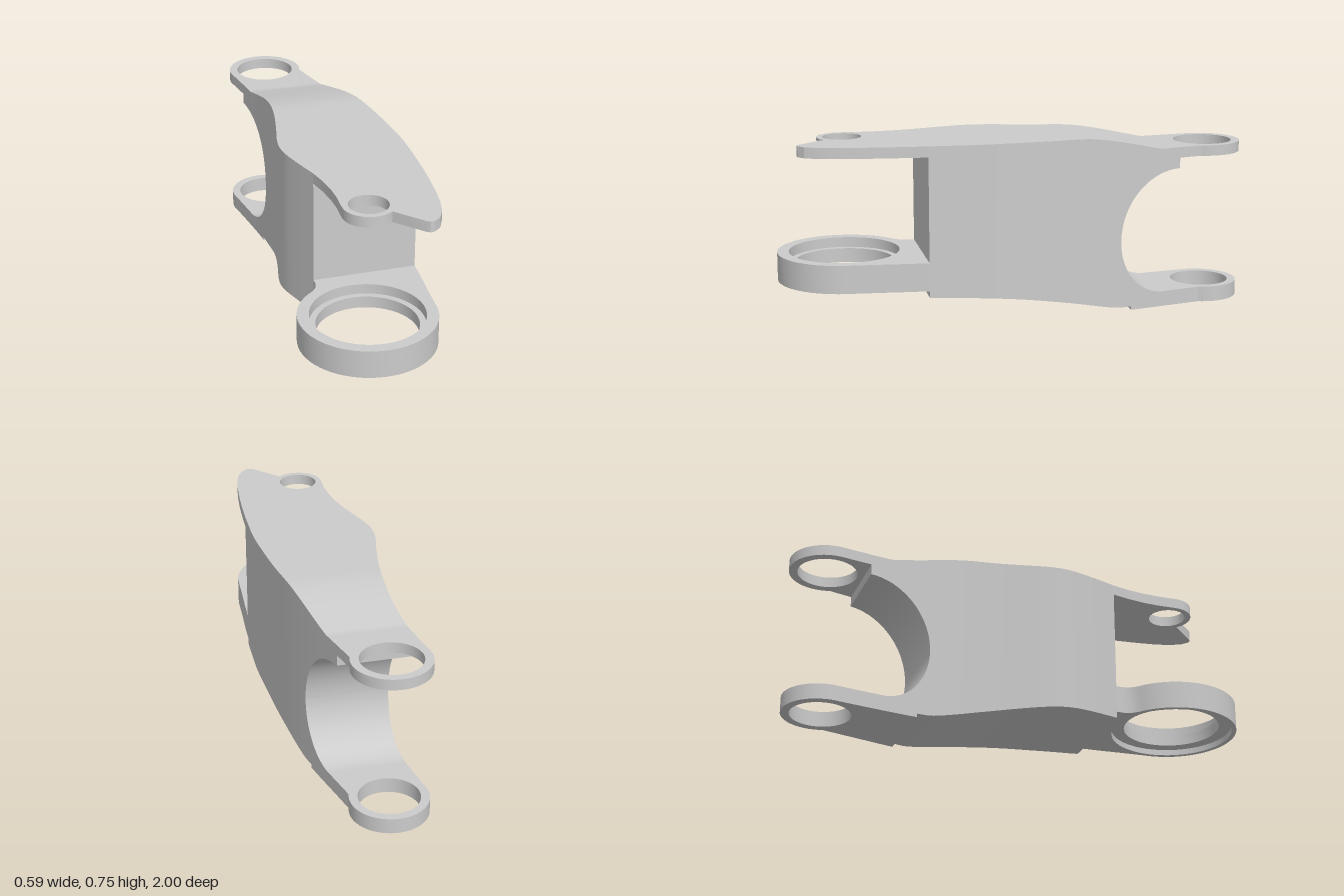
import * as THREE from 'three';
import { toCreasedNormals } from 'three/addons/utils/BufferGeometryUtils.js';

const material = new THREE.MeshStandardMaterial({ color: 0xcccccc });

// Side outlines of the arm in plan, as [z, x] from back to front
const LEFT = [[-0.8, -0.175], [-0.64, -0.152], [-0.45, -0.131], [-0.3, -0.135], [-0.18, -0.15],
  [-0.05, -0.177], [0.06, -0.203], [0.13, -0.212], [0.2, -0.206], [0.3, -0.18], [0.405, -0.148]];
const RIGHT = [[-0.79, 0.132], [-0.65, 0.165], [-0.5, 0.2], [-0.3, 0.24], [-0.1, 0.27],
  [0.1, 0.288], [0.2, 0.293], [0.3, 0.291], [0.405, 0.287]];
// Top and underside heights, as [z, y]
const TOP = [[-0.6, 0.685], [-0.5, 0.708], [-0.4, 0.73], [-0.3, 0.746], [-0.24, 0.75], [-0.1, 0.75], [0.405, 0.75]];
const UNDER = [[-0.47, 0.015], [-0.4, 0.017], [-0.2, 0.057], [0, 0.09], [0.2, 0.111], [0.405, 0.122]];

// Smooth interpolation through a sorted table
function at(table, t) {
  const n = table.length - 1;
  if (t <= table[0][0]) return table[0][1];
  if (t >= table[n][0]) return table[n][1];
  let i = 0;
  while (t > table[i + 1][0]) i++;
  const slope = (k) => {
    const a = table[Math.max(k - 1, 0)], b = table[Math.min(k + 1, n)];
    return (b[1] - a[1]) / (b[0] - a[0]);
  };
  const [t0, v0] = table[i], [t1, v1] = table[i + 1];
  const h = t1 - t0, u = (t - t0) / h, u2 = u * u, u3 = u2 * u;
  return v0 * (2 * u3 - 3 * u2 + 1) + v1 * (3 * u2 - 2 * u3) +
    h * (slope(i) * (u3 - 2 * u2 + u) + slope(i + 1) * (u3 - u2));
}

function addMesh(group, name, geometry) {
  const flat = geometry.index ? geometry.toNonIndexed() : geometry;
  const mesh = new THREE.Mesh(toCreasedNormals(flat, 0.4), material);
  mesh.name = name;
  group.add(mesh);
  return mesh;
}

// Loft of rectangular sections [z, yLow, yHigh], listed from front to back
function loft(sections, capFront, capBack) {
  const rings = sections.map(([z, lo, hi]) => {
    const l = at(LEFT, z), r = at(RIGHT, z);
    return [[l, lo, z], [r, lo, z], [r, hi, z], [l, hi, z]];
  });
  const pos = [];
  const quad = (a, b, c, d) => [a, b, c, a, c, d].forEach((p) => pos.push(...p));
  if (capFront) quad(...rings[0]);
  for (let i = 0; i < rings.length - 1; i++) {
    for (let k = 0; k < 4; k++) {
      const m = (k + 1) % 4;
      quad(rings[i][k], rings[i + 1][k], rings[i + 1][m], rings[i][m]);
    }
  }
  if (capBack) quad(...[...rings[rings.length - 1]].reverse());
  const g = new THREE.BufferGeometry();
  g.setAttribute('position', new THREE.Float32BufferAttribute(pos, 3));
  return g;
}

// Points [x, z] along an arc, angles in degrees
function arc(cx, cz, r, from, to, steps = 32) {
  return Array.from({ length: steps + 1 }, (_, i) => {
    const a = THREE.MathUtils.degToRad(from + (to - from) * i / steps);
    return [cx + r * Math.cos(a), cz + r * Math.sin(a)];
  });
}

// Horizontal plate from a plan outline with one round hole [x, z, r]
function plate(outline, [hx, hz, hr], y0, y1) {
  const shape = new THREE.Shape(outline.map(([x, z]) => new THREE.Vector2(x, -z)));
  shape.holes.push(new THREE.Path().absarc(hx, -hz, hr, 0, Math.PI * 2, true));
  const g = new THREE.ExtrudeGeometry(shape, { depth: y1 - y0, bevelEnabled: false, curveSegments: 24 });
  return g.rotateX(-Math.PI / 2).translate(0, y0, 0);
}

// Rear lug outline, starting at depth z
function rearOutline(z) {
  return [[at(RIGHT, z), z], [at(RIGHT, (z - 0.79) / 2), (z - 0.79) / 2],
    ...arc(-0.02, -0.84, 0.16, 18, -194),
    [at(LEFT, (z - 0.8) / 2), (z - 0.8) / 2], [at(LEFT, z), z]];
}

export function createModel() {
  const group = new THREE.Group();
  group.name = 'linkArm';

  // Solid middle of the arm
  const body = [];
  for (let i = 0; i <= 40; i++) {
    const z = 0.405 - 0.825 * i / 40;
    body.push([z, at(UNDER, z), at(TOP, z)]);
  }
  addMesh(group, 'body', loft(body, true, false));

  // Upper and lower branches around the round rear cut-out
  const upper = [], lower = [];
  const N = 24;
  for (let i = 0; i <= N; i++) {
    const a = Math.PI / 2 * i / N, c = Math.cos(a), s = Math.sin(a);
    const zu = -0.69 + 0.27 * c, zl = -0.62 + 0.2 * c;
    upper.push([zu, 0.3 + 0.295 * s, at(TOP, zu)]);
    lower.push([zl, zl > -0.47 ? at(UNDER, zl) : 0, 0.3 - 0.235 * s]);
  }
  // Small step where the lower lug pad begins
  const k = lower.findIndex((s) => s[1] === 0);
  const f = Math.sqrt(1 - (0.15 / 0.2) ** 2);
  lower.splice(k, 0, [-0.47, 0.015, 0.3 - 0.235 * f], [-0.47, 0, 0.3 - 0.235 * f]);
  addMesh(group, 'upperBranch', loft(upper, false, true));
  addMesh(group, 'lowerBranch', loft(lower, false, true));

  // Rear lugs
  const rearHole = [-0.02, -0.84, 0.125];
  addMesh(group, 'upperRearLug', plate(rearOutline(-0.69), rearHole, 0.64, 0.685));
  addMesh(group, 'lowerRearLug', plate(rearOutline(-0.62), rearHole, 0, 0.065));

  // Thin upper front tab with its eye and angled notch
  const tab = [[-0.148, 0.405], [-0.132, 0.48], [-0.122, 0.56], [-0.12, 0.63], [-0.124, 0.69],
    ...arc(-0.02, 0.72, 0.105, 180, 50),
    [0.145, 0.912], [0.158, 0.921], [0.175, 0.919], [0.205, 0.895], [0.23, 0.845], [0.247, 0.78],
    [0.26, 0.7], [0.272, 0.6], [0.281, 0.5], [0.287, 0.405]];
  addMesh(group, 'upperFrontTab', plate(tab, [-0.02, 0.72, 0.08], 0.705, 0.75));

  // Large lower front ring
  const ring = [[-0.148, 0.405], [-0.147, 0.435], [-0.158, 0.468], [-0.178, 0.492],
    ...arc(-0.017, 0.72, 0.28, 229, 0, 40),
    [0.272, 0.6], [0.281, 0.5], [0.287, 0.405]];
  addMesh(group, 'lowerFrontRing', plate(ring, [-0.017, 0.72, 0.26], 0.15, 0.268));

  // Stepped bore inside the ring
  const bore = [[0.262, 0.268], [0.232, 0.268], [0.232, 0.225], [0.206, 0.225], [0.206, 0.175], [0.262, 0.175]];
  const seat = addMesh(group, 'steppedBore',
    new THREE.LatheGeometry(bore.map(([r, y]) => new THREE.Vector2(r, y)), 48));
  seat.position.set(-0.017, 0, 0.72);

  return group;
}
